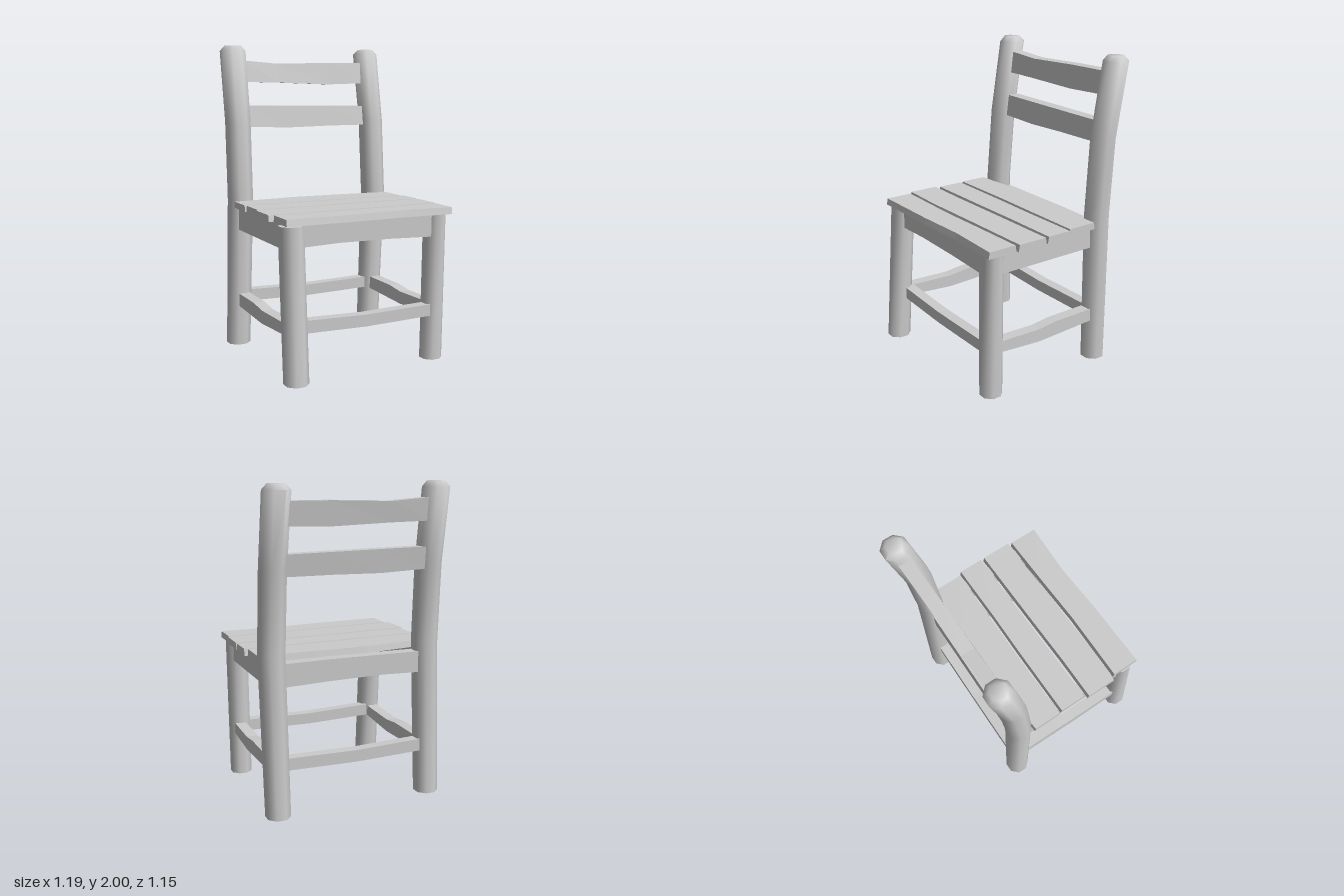
import * as THREE from 'three';
import { toCreasedNormals } from 'three/addons/utils/BufferGeometryUtils.js';

const grey = new THREE.MeshStandardMaterial({ color: 0xcccccc });

// Closed loft through rings of points; rings run counter-clockwise seen from the last ring.
function loft(rings, crease) {
  const n = rings[0].length;
  const pos = [];
  const tri = (a, b, c) => pos.push(...a, ...b, ...c);
  for (let i = 0; i < rings.length - 1; i++) {
    for (let j = 0; j < n; j++) {
      const k = (j + 1) % n;
      const a = rings[i][j], b = rings[i][k], c = rings[i + 1][k], d = rings[i + 1][j];
      tri(a, b, c);
      tri(a, c, d);
    }
  }
  const first = rings[0], last = rings[rings.length - 1];
  for (let j = 1; j < n - 1; j++) {
    tri(first[0], first[j + 1], first[j]);
    tri(last[0], last[j], last[j + 1]);
  }
  const geo = new THREE.BufferGeometry();
  geo.setAttribute('position', new THREE.Float32BufferAttribute(pos, 3));
  geo.computeVertexNormals();
  return crease ? toCreasedNormals(geo, crease) : geo;
}

// Eight-sided pole through stations [x, y, z, flat-to-flat half width].
function pole(stations) {
  return loft(stations.map(([x, y, z, half]) => {
    const r = half / Math.cos(Math.PI / 8);
    return Array.from({ length: 8 }, (_, i) => {
      const a = (i + 0.5) * Math.PI / 4;
      return [x + r * Math.sin(a), y, z + r * Math.cos(a)];
    });
  }), 1.15);
}

// Hewn board along x: stations [x, bottom, top, back, front].
// lean shifts the top edge in z, taper narrows the top on both sides.
function board(stations, lean = 0, taper = 0) {
  return loft(stations.map(([x, y0, y1, z0, z1]) => [
    [x, y0, z0], [x, y1, z0 + lean + taper],
    [x, y1, z1 + lean - taper], [x, y0, z1],
  ]));
}

export function createModel() {
  const chair = new THREE.Group();
  const add = (name, geo) => {
    const mesh = new THREE.Mesh(geo, grey);
    mesh.name = name;
    chair.add(mesh);
    return mesh;
  };

  // Front legs, the right one splayed forward
  add('frontLegLeft', pole([[0.487, 0, 0.425, 0.067], [0.5, 0.945, 0.425, 0.067]]));
  add('frontLegRight', pole([[-0.505, 0.015, 0.505, 0.071], [-0.502, 0.945, 0.437, 0.071]]));

  // Back posts bend backwards above the seat and end in a rounded head
  add('backPostLeft', pole([
    [0.49, 0, -0.408, 0.073], [0.51, 1, -0.38, 0.077], [0.506, 1.5, -0.412, 0.077],
    [0.503, 1.955, -0.492, 0.078], [0.503, 1.99, -0.49, 0.048],
  ]));
  add('backPostRight', pole([
    [-0.527, 0.015, -0.39, 0.073], [-0.508, 1, -0.362, 0.077], [-0.503, 1.5, -0.398, 0.077],
    [-0.503, 1.965, -0.474, 0.078], [-0.503, 2, -0.472, 0.05],
  ]));

  // Seat planks: stations are [x, back, front], the seat drops slightly to the left
  const planks = [
    [[-0.58, -0.285, -0.09], [-0.13, -0.333, -0.1], [0.2, -0.328, -0.1], [0.572, -0.312, -0.102]],
    [[-0.574, -0.083, 0.104], [-0.1, -0.09, 0.094], [0.2, -0.09, 0.085], [0.592, -0.098, 0.08]],
    [[-0.592, 0.115, 0.324], [-0.3, 0.112, 0.327], [0.1, 0.1, 0.312], [0.592, 0.088, 0.297]],
    [[-0.565, 0.332, 0.523], [-0.1, 0.332, 0.512], [0.22, 0.318, 0.493], [0.582, 0.305, 0.504]],
  ];
  planks.forEach((plank, i) => add('seatPlank' + (i + 1), board(
    plank.map(([x, back, front]) => [x, 0.948 - x * 0.012, 0.99 - x * 0.009, back, front]), 0, 0.008)));

  // Front and back aprons under the seat
  const apron = (z) => board([
    [-0.46, 0.815, 0.95, z, z + 0.08], [-0.2, 0.822, 0.95, z, z + 0.08],
    [0.15, 0.815, 0.95, z, z + 0.08], [0.46, 0.802, 0.945, z, z + 0.08],
  ]);
  add('frontApron', apron(0.39));
  add('backApron', apron(-0.408));

  // Front and back stretchers
  const stretcher = (z) => board([
    [-0.46, 0.3, 0.378, z, z + 0.07], [-0.02, 0.285, 0.36, z, z + 0.07],
    [0.46, 0.29, 0.366, z, z + 0.07],
  ]);
  add('frontStretcher', stretcher(0.405));
  add('backStretcher', stretcher(-0.425));

  // Side aprons and stretchers: built along x, then turned to run along z
  for (const [side, x] of [['Left', 0.5], ['Right', -0.51]]) {
    const near = -x - 0.037, far = -x + 0.037;
    const sideApron = board([[-0.35, 0.805, 0.95, near, far], [0.4, 0.805, 0.95, near, far]]);
    const sideStretcher = board([
      [-0.36, 0.287, 0.37, near, far], [-0.05, 0.275, 0.37, near, far],
      [0.09, 0.27, 0.355, near, far], [0.42, 0.295, 0.366, near, far],
    ]);
    add('sideApron' + side, sideApron.rotateY(-Math.PI / 2));
    add('sideStretcher' + side, sideStretcher.rotateY(-Math.PI / 2));
  }

  // Back slats, leaning with the posts
  add('upperSlat', board([
    [-0.46, 1.765, 1.905, -0.488, -0.408], [-0.2, 1.76, 1.885, -0.491, -0.411],
    [0.18, 1.747, 1.895, -0.497, -0.417], [0.46, 1.755, 1.895, -0.503, -0.421],
  ], -0.02));
  add('lowerSlat', board([
    [-0.46, 1.472, 1.61, -0.452, -0.372], [-0.15, 1.46, 1.605, -0.454, -0.374],
    [0.15, 1.465, 1.6, -0.457, -0.377], [0.46, 1.465, 1.595, -0.46, -0.38],
  ], -0.018));

  return chair;
}
